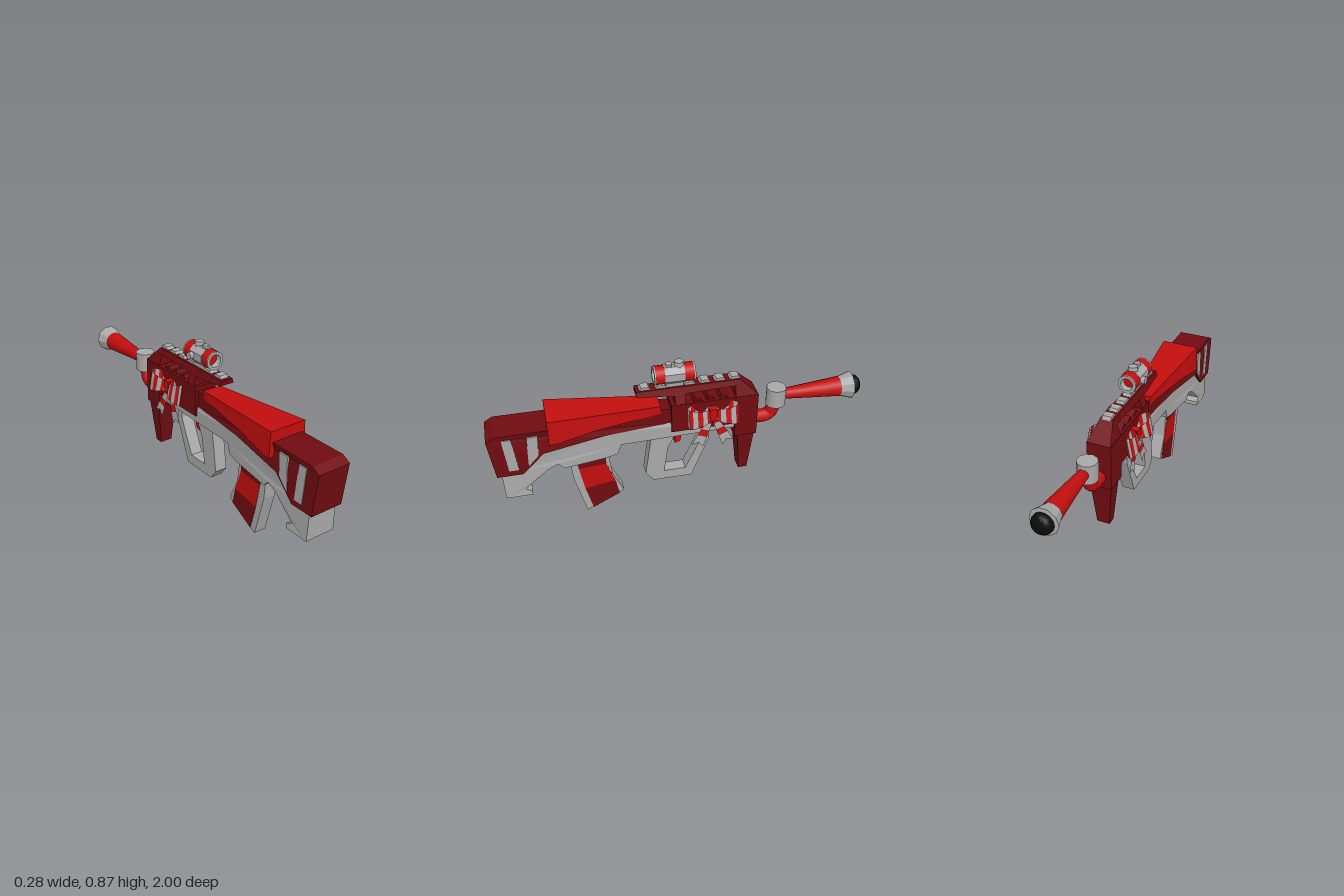
import * as THREE from 'three';

const std = (name, color, extra = {}) => {
  const m = new THREE.MeshStandardMaterial({ color, ...extra });
  m.name = name;
  return m;
};
const { lerp, clamp } = THREE.MathUtils;
const ramp = (v, a, b, wa, wb) => lerp(wa, wb, clamp((v - a) / (b - a), 0, 1));

export function createModel() {
  const model = new THREE.Group();
  const dark = std('darkRed', 0x700c10);
  const red = std('brightRed', 0xc20e0e, { side: THREE.DoubleSide });
  const grey = std('grey', 0xa9a9a9, { side: THREE.DoubleSide });
  const black = std('black', 0x0c0c0c);

  const add = (name, geo, mat, x = 0, y = 0, z = 0) => {
    const m = new THREE.Mesh(geo, mat);
    m.name = name;
    m.position.set(x, y, z);
    model.add(m);
    return m;
  };
  const path = (pts) => pts.map(([a, b]) => new THREE.Vector2(a, b));

  // Side profile given as (z, y), widened to a half-width that may vary with z and y
  const slab = (name, pts, half, mat, hole) => {
    const shape = new THREE.Shape(path(pts));
    if (hole) shape.holes.push(new THREE.Path(path(hole)));
    const g = new THREE.ExtrudeGeometry(shape, { depth: 2, bevelEnabled: false });
    g.translate(0, 0, -1).rotateY(-Math.PI / 2);
    const p = g.attributes.position;
    for (let i = 0; i < p.count; i++) {
      const w = typeof half === 'function' ? half(p.getZ(i), p.getY(i)) : half;
      p.setX(i, Math.sign(p.getX(i)) * w);
    }
    g.computeVertexNormals();
    return add(name, g, mat);
  };
  const box = (name, w, h, d, mat, x, y, z) => add(name, new THREE.BoxGeometry(w, h, d), mat, x, y, z);
  // Turned part along z; profile given as (radius, z)
  const turned = (name, pts, sides, mat, y, flat) => {
    let g = new THREE.LatheGeometry(path(pts), sides, Math.PI / sides);
    g.rotateX(Math.PI / 2);
    if (flat) {
      g = g.toNonIndexed();
      g.computeVertexNormals();
    }
    return add(name, g, mat, 0, y, 0);
  };

  // Stock
  const stockHalf = (z) => ramp(z, 0.05, 0.7, 0.048, 0.092);
  slab('stock', [[1, 0.594], [0.957, 0.62], [0.694, 0.62], [0.05, 0.62], [0.05, 0.53],
    [0.4, 0.524], [0.727, 0.48], [0.839, 0.367], [0.973, 0.367]], stockHalf, dark);
  slab('cheekRest', [[0.694, 0.677], [0.11, 0.645], [0.11, 0.602], [0.46, 0.575], [0.65, 0.54], [0.694, 0.54]],
    (z, y) => ramp(z, 0.11, 0.694, 0.053, 0.104) + (y < 0.6 ? 0.006 : 0), red);
  slab('stockSlotRear', [[0.925, 0.595], [0.877, 0.595], [0.858, 0.4], [0.908, 0.4]], 0.095, grey);
  slab('stockSlotFront', [[0.8, 0.595], [0.745, 0.595], [0.752, 0.475], [0.808, 0.415]], 0.095, grey);

  // Lower receiver
  slab('lowerReceiver', [[0.95, 0.39], [0.945, 0.215], [0.807, 0.215], [0.807, 0.24], [0.84, 0.255],
    [0.72, 0.36], [0.66, 0.388], [0.63, 0.353], [0.41, 0.372], [0.345, 0.385], [0.325, 0.442],
    [-0.29, 0.442], [-0.29, 0.49], [0.05, 0.535], [0.4, 0.53], [0.727, 0.487], [0.84, 0.39]],
  (z, y) => ramp(z, 0.05, 0.7, 0.047, 0.08) + (y < 0.25 ? 0.005 : 0), grey);

  // Magazine with a painted panel on each side
  slab('magazine', [[0.598, 0.38], [0.587, 0.235], [0.528, 0], [0.319, 0.107], [0.378, 0.235], [0.394, 0.39]], 0.035, grey);
  const panel = [[0.566, 0.37, 0.41, 0.377], [0.555, 0.3, 0.407, 0.31], [0.53, 0.16, 0.365, 0.185], [0.494, 0.015, 0.345, 0.091]];
  for (let i = 0; i < 3; i++) {
    const [a, b] = [panel[i], panel[i + 1]];
    slab('magazinePanel', [[a[0], a[1]], [a[2], a[3]], [b[2], b[3]], [b[0], b[1]]], 0.037, i === 1 ? red : dark);
  }

  // Grip loop and trigger
  slab('gripLoop', [[0.16, 0.45], [0.196, 0.2], [0.153, 0.144], [-0.06, 0.144], [-0.153, 0.38], [-0.153, 0.45]], 0.035, grey,
    [[0.07, 0.36], [0.03, 0.44], [-0.115, 0.43], [-0.115, 0.395], [-0.025, 0.2], [0.094, 0.2]]);
  slab('trigger', [[0.03, 0.45], [-0.01, 0.45], [0, 0.38], [0.03, 0.37]], 0.02, red);

  // Fore-end, foregrip and carry handle
  slab('handguard', [[0.056, 0.648], [-0.41, 0.648], [-0.41, 0.396], [-0.288, 0.396], [-0.288, 0.48], [0.056, 0.48]], 0.065, dark);
  slab('foregrip', [[-0.308, 0.4], [-0.4, 0.4], [-0.378, 0.144], [-0.33, 0.144]],
    (z, y) => ramp(y, 0.144, 0.4, 0.035, 0.058), dark);
  slab('carryHandle', [[0.233, 0.738], [-0.314, 0.738], [-0.41, 0.647], [-0.288, 0.647], [-0.288, 0.706],
    [-0.02, 0.7], [-0.02, 0.647], [0.035, 0.647], [0.035, 0.695], [0.233, 0.712]],
  (z, y) => ramp(y, 0.647, 0.738, 0.063, 0.034), dark);
  for (const z of [-0.09, -0.16, -0.23]) {
    slab('handguardRidge', [[z + 0.03, 0.645], [z + 0.02, 0.67], [z - 0.03, 0.645]], 0.05, dark);
  }
  for (const z of [0.185, 0.1, -0.05, -0.13, -0.21, -0.29]) {
    slab('railTooth', [[z + 0.03, 0.736], [z + 0.02, 0.753], [z - 0.02, 0.753], [z - 0.03, 0.736]], 0.024, grey);
  }

  // Scope
  const sy = 0.805;
  box('scopeMount', 0.045, 0.035, 0.09, grey, 0, 0.75, 0.03);
  turned('scopeBody', [[0, -0.02], [0.053, -0.02], [0.053, 0.083], [0, 0.083]].reverse(), 8, grey, sy, true);
  for (const [a, b, rim] of [[0.083, 0.13, 0.137], [-0.02, -0.069, -0.076]]) {
    turned('scopeEnd', [[0.05, a], [0.05, b]], 12, red, sy);
    turned('scopeRim', [[0.05, b], [0.05, rim], [0.034, rim], [0.031, (a + b) / 2]], 12, grey, sy, true);
    turned('scopeLens', [[0, (a + b) / 2], [0.034, (a + b) / 2]], 12, red, sy);
  }
  add('topTurret', new THREE.CylinderGeometry(0.024, 0.028, 0.03, 8), grey, 0, 0.858, 0.003);
  add('rearTurret', new THREE.CylinderGeometry(0.018, 0.018, 0.02, 8), grey, 0, 0.856, 0.057);
  add('sideTurret', new THREE.CylinderGeometry(0.02, 0.02, 0.03, 8).rotateZ(Math.PI / 2), grey, -0.056, sy, 0.003);

  // Horn-shaped barrel on a bent pipe
  const bend = new THREE.CurvePath();
  const [p0, p1, p2, p3] = [[0.46, -0.4], [0.46, -0.475], [0.475, -0.505], [0.56, -0.535]].map(([y, z]) => new THREE.Vector3(0, y, z));
  bend.add(new THREE.LineCurve3(p0, p1));
  bend.add(new THREE.LineCurve3(p1, p2));
  bend.add(new THREE.LineCurve3(p2, p3));
  add('bentPipe', new THREE.TubeGeometry(bend, 16, 0.036, 10), red);
  add('pipeCup', new THREE.CylinderGeometry(0.054, 0.054, 0.105, 10), grey, 0, 0.582, -0.53);
  turned('horn', [[0.028, -0.56], [0.055, -0.885]], 12, red, 0.585);
  turned('hornBell', [[0.052, -0.88], [0.075, -0.952], [0.054, -0.956]], 10, grey, 0.585, true);
  turned('hornTip', [[0, -1], [0.035, -0.999], [0.05, -0.985], [0.055, -0.97], [0.055, -0.945]], 14, black, 0.585);

  // Striped ribbon between two edges, colours alternating along its length
  const ribbon = (name, left, right, first) => {
    const pos = [];
    const g = new THREE.BufferGeometry();
    for (let i = 0; i < left.length - 1; i++) {
      for (const v of [left[i], right[i], left[i + 1], right[i], right[i + 1], left[i + 1]]) pos.push(...v);
      g.addGroup(i * 6, 6, (i + first) % 2);
    }
    g.setAttribute('position', new THREE.Float32BufferAttribute(pos, 3));
    g.computeVertexNormals();
    add(name, g, [grey, red]);
  };

  // A bow on each side: two loops, a knot and two notched tails
  const bz = -0.158;
  for (const s of [1, -1]) {
    for (const d of [1, -1]) {
      const top = [], bottom = [];
      for (let i = 0; i <= 14; i++) {
        const a = (i / 14) * Math.PI * 2;
        const out = (1 - Math.cos(a)) / 2;
        const h = lerp(0.03, 0.056, out);
        const x = 0.088 + 0.03 * out * 0.6 + 0.03 * Math.sin(a);
        const z = bz + d * (0.012 + 0.126 * out);
        top.push([s * (x - 0.01), 0.582 + h, z]);
        bottom.push([s * (x + 0.01), 0.582 - h, z]);
      }
      ribbon('bowLoop', top, bottom, 0);

      const mid = [], sides = [[], []];
      for (let i = 0; i <= 4; i++) {
        const t = i / 4;
        const [x, y, z] = [s * lerp(0.088, 0.1, t), lerp(0.56, 0.415, t), bz + d * lerp(0.005, 0.075, t)];
        const w = lerp(0.012, 0.03, t);
        const drop = i === 4 ? 0.022 : 0;
        mid.push([x, y, z]);
        [1, -1].forEach((e, k) => sides[k].push([x, y + e * d * w * 0.4 - drop, z + e * w + d * drop * 0.4]));
      }
      sides.forEach((edge) => ribbon('bowTail', mid, edge, 1));
    }
    box('bowKnot', 0.04, 0.07, 0.04, red, s * 0.085, 0.58, bz);
  }
  return model;
}
